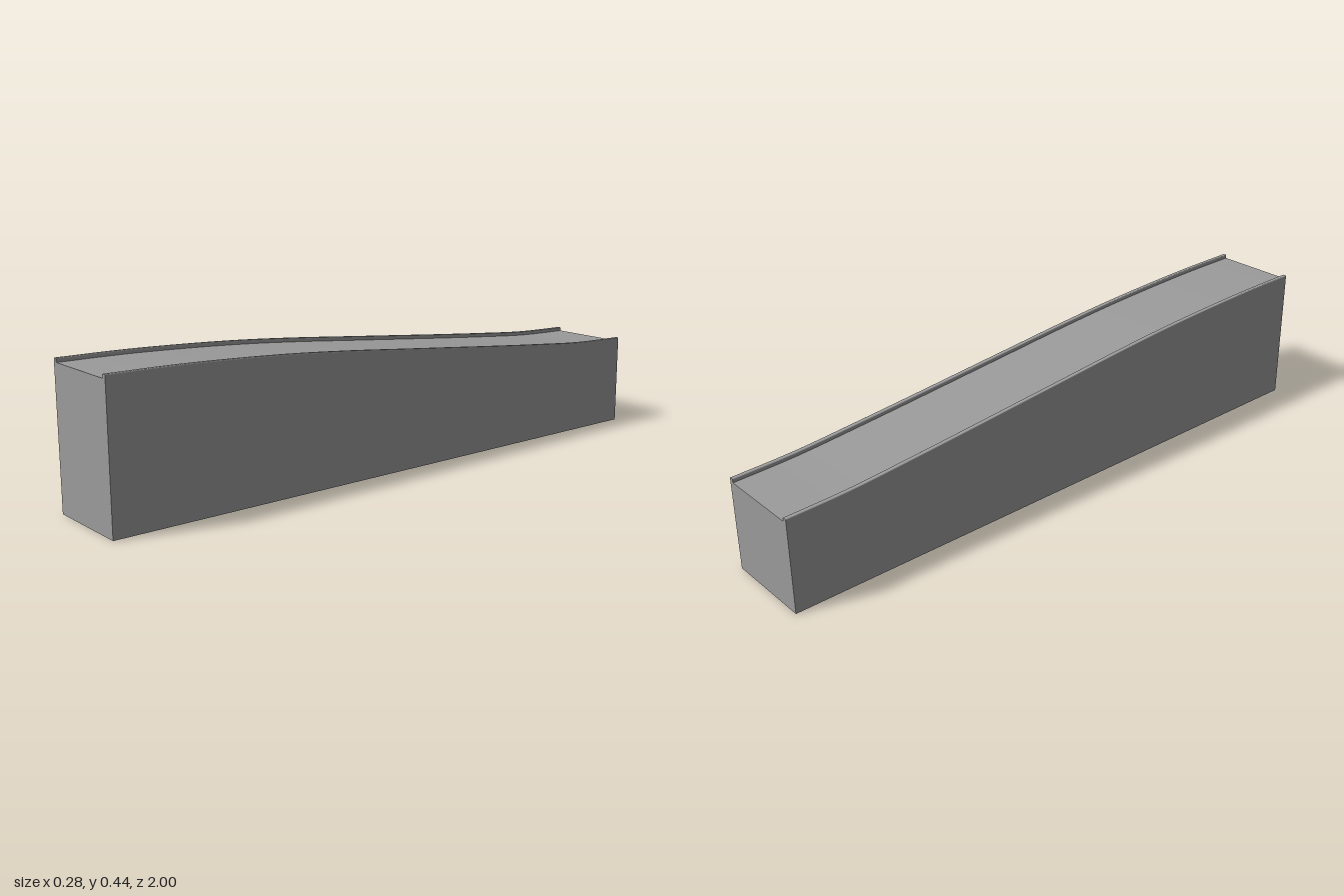
import * as THREE from 'three';

const HALF_W = 0.142, RAIL_W = 0.014, RAIL_H = 0.012, ROUND = 0.003, STEPS = 40;
const material = new THREE.MeshStandardMaterial({ color: 0x9b9b9b, side: THREE.DoubleSide });

// Height of the rail tops along the length, from the tall front to the low back
const crest = new THREE.SplineCurve([
  [1, 0.44], [0.8, 0.437], [0.6, 0.429], [0.4, 0.417], [0.2, 0.4], [0, 0.38],
  [-0.2, 0.36], [-0.4, 0.34], [-0.6, 0.321], [-0.8, 0.304], [-1, 0.297],
].map(([z, y]) => new THREE.Vector2(z, y)));
const stations = crest.getPoints(STEPS);
const deckY = (i) => stations[i].y - RAIL_H;

function named(name, geometry) {
  const mesh = new THREE.Mesh(geometry, material);
  mesh.name = name;
  return mesh;
}

// Sweep an open cross-section along the length as one smooth skin
function sweep(name, profileAt) {
  const positions = [], index = [];
  const n = profileAt(0).length;
  stations.forEach((s, i) => {
    profileAt(i).forEach(([x, y], j) => {
      positions.push(x, y, s.x);
      if (i === 0 || j === 0) return;
      const d = i * n + j, c = d - 1, b = d - n, a = b - 1;
      index.push(a, b, c, b, d, c);
    });
  });
  const geometry = new THREE.BufferGeometry();
  geometry.setAttribute('position', new THREE.Float32BufferAttribute(positions, 3));
  geometry.setIndex(index);
  geometry.computeVertexNormals();
  return named(name, geometry);
}

// Flat upright panel across the width, standing on the ground
function crossPanel(name, z, height, turn = 0) {
  const mesh = named(name, new THREE.PlaneGeometry(HALF_W * 2, height));
  mesh.position.set(0, height / 2, z);
  mesh.rotation.y = turn;
  return mesh;
}

// Rail section with rounded top corners, going round anticlockwise from the +x foot
function railSection(side, y) {
  const mid = side * (HALF_W - RAIL_W / 2), half = RAIL_W / 2;
  const points = [[mid + half, y]];
  for (const corner of [1, -1]) {
    for (let k = 0; k <= 4; k++) {
      const a = (k / 4 + (corner > 0 ? 0 : 1)) * Math.PI / 2;
      points.push([mid + corner * (half - ROUND) + ROUND * Math.cos(a), y + RAIL_H - ROUND + ROUND * Math.sin(a)]);
    }
  }
  points.push([mid - half, y]);
  return points;
}

// Flat end of a rail, mirrored across x before turning so the back one faces outward
function railCap(name, side, i, turn) {
  const facing = turn ? -1 : 1;
  const section = railSection(side * facing, deckY(i));
  const cap = named(name, new THREE.ShapeGeometry(new THREE.Shape(section.map(([x, y]) => new THREE.Vector2(x, y)))));
  cap.rotation.y = turn;
  cap.position.z = stations[i].x;
  return cap;
}

export function createModel() {
  const group = new THREE.Group();
  group.name = 'ramp';

  // Curved running surface
  group.add(sweep('deck', (i) => [[HALF_W, deckY(i)], [-HALF_W, deckY(i)]]));

  // Side walls and edge rails
  for (const side of [1, -1]) {
    const label = side > 0 ? 'left' : 'right';
    group.add(sweep(label + 'Wall', (i) => {
      const p = [[side * HALF_W, 0], [side * HALF_W, deckY(i)]];
      return side > 0 ? p : p.reverse();
    }));
    const rail = new THREE.Group();
    rail.name = label + 'Rail';
    rail.add(
      sweep(label + 'RailStrip', (i) => railSection(side, deckY(i))),
      railCap(label + 'RailFrontCap', side, 0, 0),
      railCap(label + 'RailBackCap', side, STEPS, Math.PI),
    );
    group.add(rail);
  }

  // End walls and inner brace; the underside is open
  group.add(crossPanel('frontWall', 1, deckY(0)));
  group.add(crossPanel('backWall', -1, deckY(STEPS), Math.PI));
  group.add(crossPanel('innerBrace', -0.147, 0.352, Math.PI));

  return group;
}
